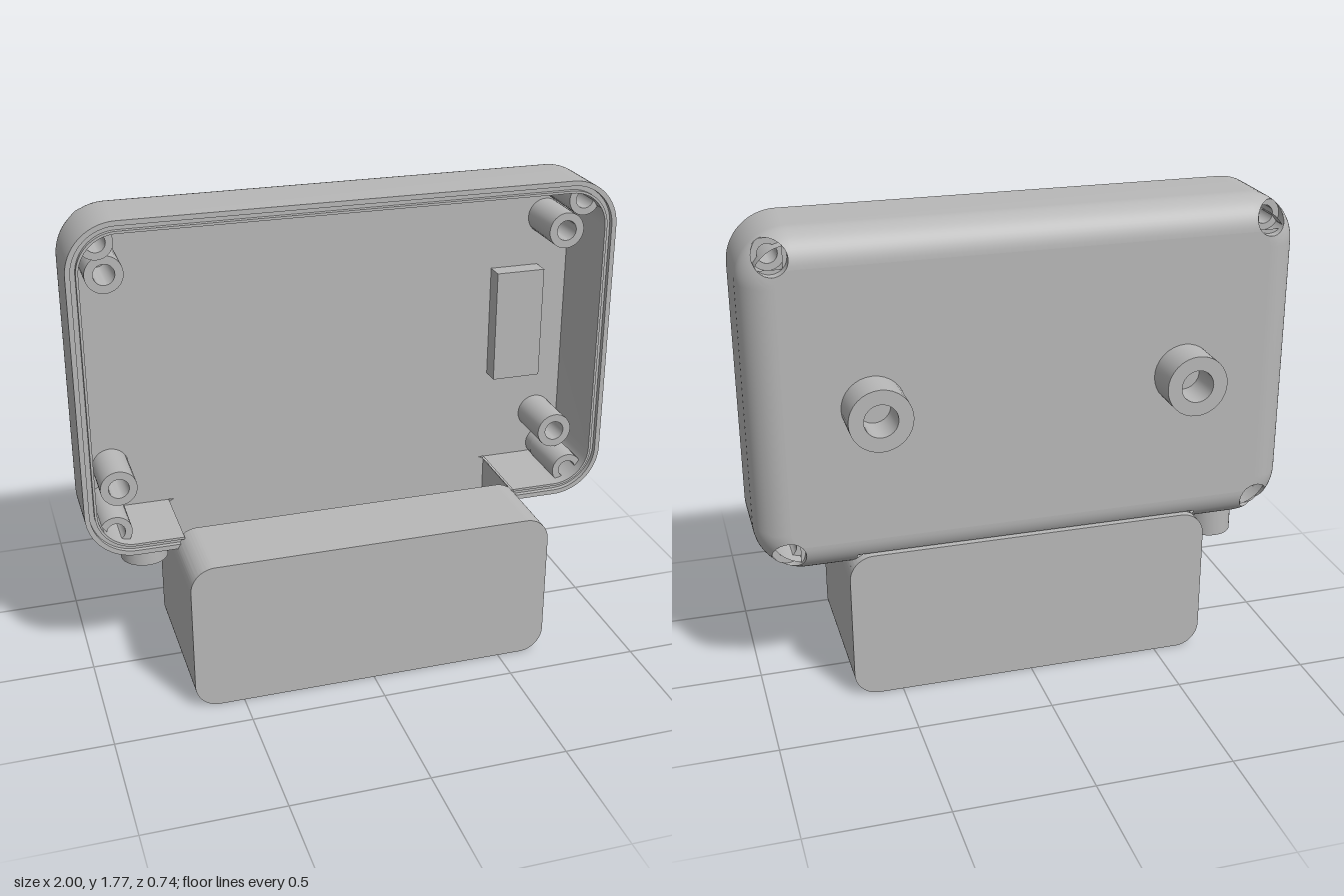
import * as THREE from 'three';
import { toCreasedNormals } from 'three/addons/utils/BufferGeometryUtils.js';

const CY = 1.1475, HW = 1, HH = 0.6275, R = 0.18;   // housing outline
const BACK = -0.238, FIL = 0.12, FRONT = 0.11, FLOOR = -0.2;
const CUT = 0.645;                                  // half width of the passage into the lower box
const HX = 0.887, HY = 0.545, POCKET = 0.058;       // corner screw positions (relative to CY)

export function createModel() {
  const group = new THREE.Group();
  const grey = new THREE.MeshStandardMaterial({ color: 0xb8b8b8, side: THREE.DoubleSide });
  grey.name = 'plainGrey';

  const add = (name, geo, x = 0, y = 0, z = 0) => {
    const m = new THREE.Mesh(geo, grey);
    m.name = name;
    m.position.set(x, y, z);
    group.add(m);
    return m;
  };
  const extrude = (shape, depth) => toCreasedNormals(
    new THREE.ExtrudeGeometry(shape, { depth, bevelEnabled: false, curveSegments: 16 }), 0.5);
  const tube = (ro, ri, depth) => {
    const s = new THREE.Shape().absarc(0, 0, ro, 0, Math.PI * 2, false);
    s.holes.push(new THREE.Path().absarc(0, 0, ri, 0, Math.PI * 2, true));
    return extrude(s, depth);
  };

  // Rounded outline of the housing at a given inset, counterclockwise
  const ARC = 20;
  const outline = (inset) => {
    const b = CY - HH + inset, pts = [new THREE.Vector2(-CUT, b), new THREE.Vector2(CUT, b)];
    [[1, -1], [1, 1], [-1, 1], [-1, -1]].forEach(([sx, sy], k) => {
      for (let i = 0; i <= ARC; i++) {
        const a = (k - 1 + i / ARC) * Math.PI / 2;
        pts.push(new THREE.Vector2(sx * (HW - R) + (R - inset) * Math.cos(a),
          CY + sy * (HH - R) + (R - inset) * Math.sin(a)));
      }
    });
    return pts;
  };
  // Depth of the rounded back edge at a corner point
  const filletZ = (x, y) => {
    const d = Math.hypot(Math.abs(x) - (HW - R), Math.abs(y - CY) - (HH - R));
    const t = Math.min(1, Math.max(0, (d - R + FIL) / FIL));
    return BACK + FIL * (1 - Math.sqrt(1 - t * t));
  };

  // Housing shell: back fillet, side, grooved rim, inner wall
  const sections = [];
  const STEPS = 14;
  for (let i = 0; i <= STEPS; i++) {
    const t = i / STEPS * Math.PI / 2;
    sections.push([FIL * (1 - Math.sin(t)), BACK + FIL * (1 - Math.cos(t))]);
  }
  sections.push([0, FRONT], [0.018, FRONT], [0.018, FRONT - 0.018], [0.036, FRONT - 0.018],
    [0.036, FRONT], [0.045, FRONT], [0.045, FLOOR]);
  const pos = [], inside = [], index = [];
  sections.forEach(([inset, z], i) => outline(inset).forEach((p) => {
    const cx = Math.sign(p.x) * HX, cy = CY + Math.sign(p.y - CY) * HY;
    const dx = p.x - cx, dy = p.y - cy, d = Math.hypot(dx, dy);
    const hit = i <= STEPS && d < POCKET;
    inside.push(hit);
    if (hit) {                                      // push onto the rim of the screw pocket
      const x = cx + dx / d * POCKET, y = cy + dy / d * POCKET;
      pos.push(x, y, filletZ(x, y));
    } else pos.push(p.x, p.y, z);
  }));
  const N = outline(0).length;
  const tri = (a, b, c) => { if (!(inside[a] && inside[b] && inside[c])) index.push(a, b, c); };
  for (let i = 0; i < sections.length - 1; i++) {
    for (let j = 0; j < N; j++) {
      if (j === 0 && (i >= STEPS || sections[i + 1][0] < 0.05)) continue;   // passage to lower box
      const a = i * N + j, b = i * N + (j + 1) % N;
      tri(a, b, b + N);
      tri(a, b + N, a + N);
    }
  }
  const shell = new THREE.BufferGeometry();
  shell.setAttribute('position', new THREE.Float32BufferAttribute(pos, 3));
  shell.setIndex(index);
  add('housingShell', toCreasedNormals(shell, 0.5));

  // Back panel, outside and inside; the inside is notched around the screw bosses
  const outer = new THREE.ShapeGeometry(new THREE.Shape(outline(FIL)));
  outer.rotateY(Math.PI);
  add('backPanel', outer, 0, 0, BACK);
  const fx = HW - 0.045, fy = HH - 0.045, nx = 0.845, ny = 0.503;
  const floorPts = [];
  [[1, -1], [1, 1], [-1, 1], [-1, -1]].forEach(([sx, sy]) => {
    const c = [[nx, fy], [nx, ny], [fx, ny]].map(([x, y]) => new THREE.Vector2(sx * x, CY + sy * y));
    floorPts.push(...(sx * sy < 0 ? c : c.reverse()));
  });
  add('innerBackPanel', new THREE.ShapeGeometry(new THREE.Shape(floorPts)), 0, 0, FLOOR);

  // Corner screw bosses with rear pockets, and board pegs
  for (const sx of [-1, 1]) for (const sy of [-1, 1]) {
    const x = sx * HX, y = CY + sy * HY;
    add('screwBoss', tube(0.06, 0.034, 0.22), x, y, -0.15);
    const wall = new THREE.CylinderGeometry(POCKET, POCKET, 1, 40, 1, true).rotateX(Math.PI / 2);
    const p = wall.attributes.position;
    for (let i = 0; i < p.count; i++) {
      p.setZ(i, p.getZ(i) > 0 ? -0.15 : Math.min(-0.15, filletZ(x + p.getX(i), y + p.getY(i))));
    }
    add('screwPocket', wall, x, y, 0);
    add('boardPeg', tube(0.068, 0.038, 0.2), sx * 0.857, CY + sy * 0.408, FLOOR);
  }
  add('innerBlock', new THREE.BoxGeometry(0.19, 0.435, 0.07), 0.74, 1.1475, FLOOR + 0.035);

  // Rear mounting tubes
  for (const sx of [-1, 1]) add('mountTube', tube(0.113, 0.06, 0.135), sx * 0.57, 1.147, -0.372);

  // Cable outlet under the housing
  add('cableOutlet', tube(0.088, 0.052, 0.11).rotateX(-Math.PI / 2), -0.77, 0.42, -0.065);

  // Lower box: end plates
  const W = 0.68, H = 0.572, r = 0.09, T = 0.035, q = Math.PI / 2;
  const plate = new THREE.Shape()
    .absarc(W - r, r, r, -q, 0, false).absarc(W - r, H - r, r, 0, q, false)
    .absarc(r - W, H - r, r, q, 2 * q, false).absarc(r - W, r, r, 2 * q, 3 * q, false);
  add('boxFront', extrude(plate, T), 0, 0, 0.372 - T);
  add('boxBack', extrude(plate, T + 0.002), 0, 0, -0.237);

  // Lower box: side walls with bottom lip
  const clip = Math.acos((CUT - W + r) / r);
  const side = new THREE.Shape();
  side.moveTo(0.55, 0);
  side.absarc(W - r, r, r, -q, 0, false).absarc(W - r, H - r, r, 0, clip, false);
  side.lineTo(CUT, 0.045);
  side.lineTo(0.55, 0.045);
  const sideGeo = extrude(side, 0.537);
  for (const sx of [-1, 1]) add('boxSide', sideGeo, 0, 0, FLOOR).scale.x = sx;

  // Lower box: top in front of the passage, and the front and back bottom lips
  const top = new THREE.Shape();
  top.moveTo(-CUT, H - T);
  top.lineTo(CUT, H - T);
  top.absarc(W - r, H - r, r, clip, q, false).absarc(r - W, H - r, r, q, 2 * q - clip, false);
  add('boxTop', extrude(top, 0.272), 0, 0, 0.065);
  add('boxFrontLip', new THREE.BoxGeometry(1.1, 0.045, 0.055), 0, 0.0225, 0.3095);
  add('boxBackLip', new THREE.BoxGeometry(1.1, 0.045, 0.055), 0, 0.0225, -0.1725);

  return group;
}
